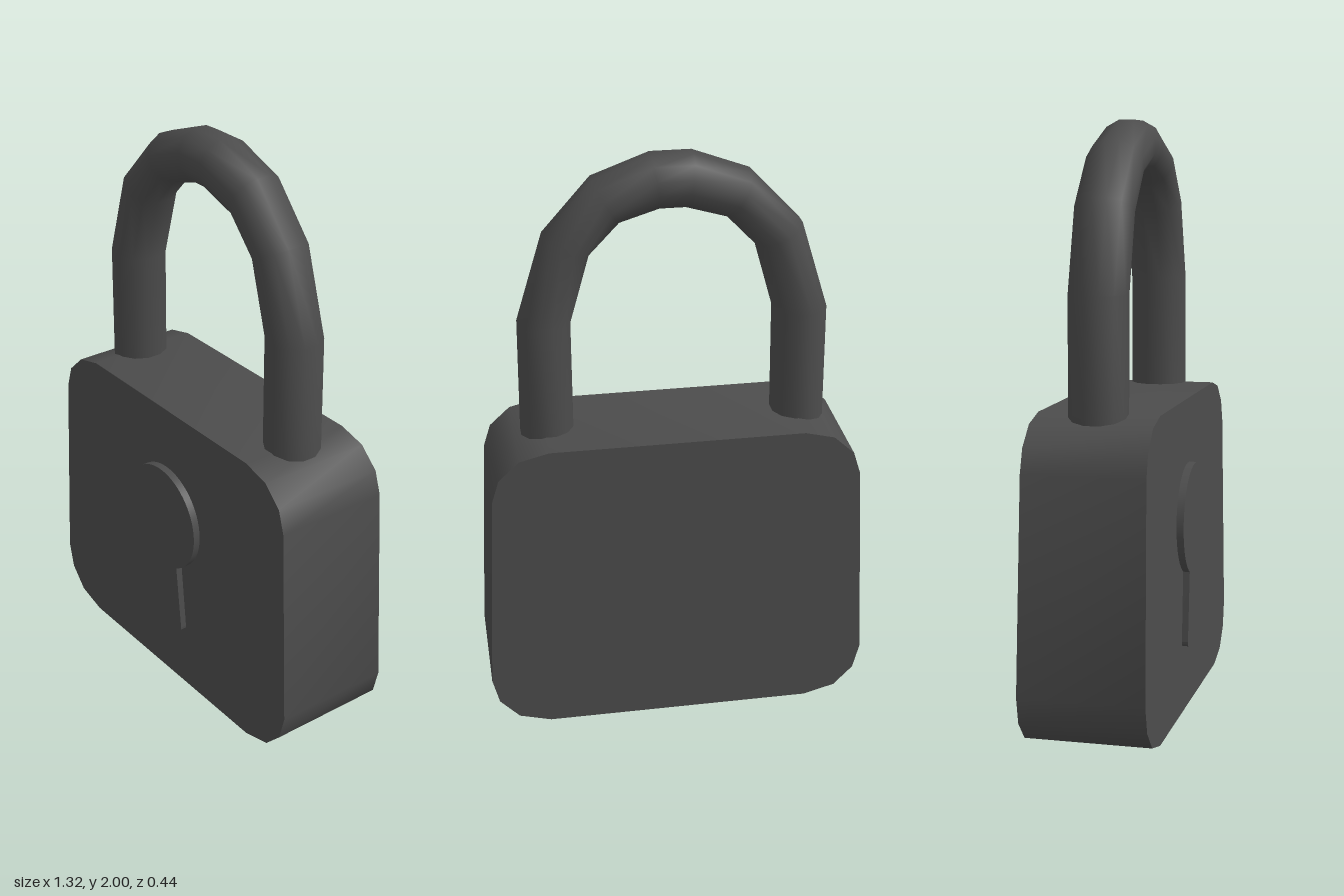
import * as THREE from 'three';
import { toCreasedNormals } from 'three/addons/utils/BufferGeometryUtils.js';

export function createModel() {
  const group = new THREE.Group();
  const iron = new THREE.MeshStandardMaterial({ color: 0x4c4c4c });
  iron.name = 'darkIron';

  const add = (name, geometry) => {
    const mesh = new THREE.Mesh(geometry, iron);
    mesh.name = name;
    group.add(mesh);
  };

  // Lock body: tapered outline with chamfered corners, a little thicker at the base
  const half = [
    [0.46, 0], [0.57, 0.03], [0.637, 0.1], [0.66, 0.19],
    [0.625, 0.9], [0.6, 0.98], [0.53, 1.045], [0.43, 1.07],
  ];
  const outline = [...half, ...half.map(([x, y]) => [-x, y]).reverse()];
  const body = new THREE.ExtrudeGeometry(
    new THREE.Shape(outline.map(([x, y]) => new THREE.Vector2(x, y))),
    { depth: 1, bevelEnabled: false },
  );
  const p = body.attributes.position;
  for (let i = 0; i < p.count; i++) {
    const y = p.getY(i);
    p.setZ(i, p.getZ(i) > 0.5 ? 0.202 - 0.008 * y : -0.22 + 0.012 * y);
  }
  add('body', toCreasedNormals(body, 0.8));

  // Raised keyhole: round head and flared stem with softened lower corners
  const keyhole = new THREE.Shape();
  keyhole.moveTo(-0.095, 0.23);
  keyhole.lineTo(0.09, 0.23);
  keyhole.quadraticCurveTo(0.107, 0.23, 0.105, 0.25);
  keyhole.lineTo(0.08, 0.488);
  const start = Math.atan2(0.488 - 0.658, 0.086);
  keyhole.absarc(-0.006, 0.658, 0.191, start, Math.PI - start, false);
  keyhole.lineTo(-0.117, 0.25);
  keyhole.quadraticCurveTo(-0.119, 0.23, -0.095, 0.23);
  const plate = new THREE.ExtrudeGeometry(keyhole, { depth: 0.04, bevelEnabled: false, curveSegments: 28 });
  plate.translate(0, 0, 0.181);
  add('keyhole', toCreasedNormals(plate, 0.6));

  // Shackle: rings spanning the outer and inner edge of the bow [outer x, y, inner x, y]
  const rings = [
    [-0.53, 0.98, -0.355, 0.98], [-0.527, 1.45, -0.35, 1.45],
    [-0.435, 1.75, -0.285, 1.68], [-0.265, 1.93, -0.185, 1.785],
    [-0.075, 2.0, -0.05, 1.825], [0.06, 2.0, 0.035, 1.825],
    [0.25, 1.93, 0.165, 1.785], [0.41, 1.75, 0.265, 1.68],
    [0.502, 1.45, 0.33, 1.45], [0.507, 0.98, 0.33, 0.98],
  ];
  const sides = 12;
  const fit = 1 / Math.cos(Math.PI / sides);
  const positions = [];
  const indices = [];
  rings.forEach(([ox, oy, ix, iy], r) => {
    for (let s = 0; s < sides; s++) {
      const a = ((s + 0.5) / sides) * Math.PI * 2;
      const c = Math.cos(a) * fit * 0.5;
      positions.push(
        (ox + ix) / 2 + (ox - ix) * c,
        (oy + iy) / 2 + (oy - iy) * c,
        -0.004 + 0.094 * fit * Math.sin(a),
      );
      if (r === rings.length - 1) continue;
      const t = (s + 1) % sides;
      const i = r * sides + s, j = r * sides + t;
      indices.push(i, j, i + sides, j, j + sides, i + sides);
    }
  });
  const shackle = new THREE.BufferGeometry();
  shackle.setAttribute('position', new THREE.Float32BufferAttribute(positions, 3));
  shackle.setIndex(indices);
  shackle.computeVertexNormals();
  add('shackle', shackle);

  return group;
}
